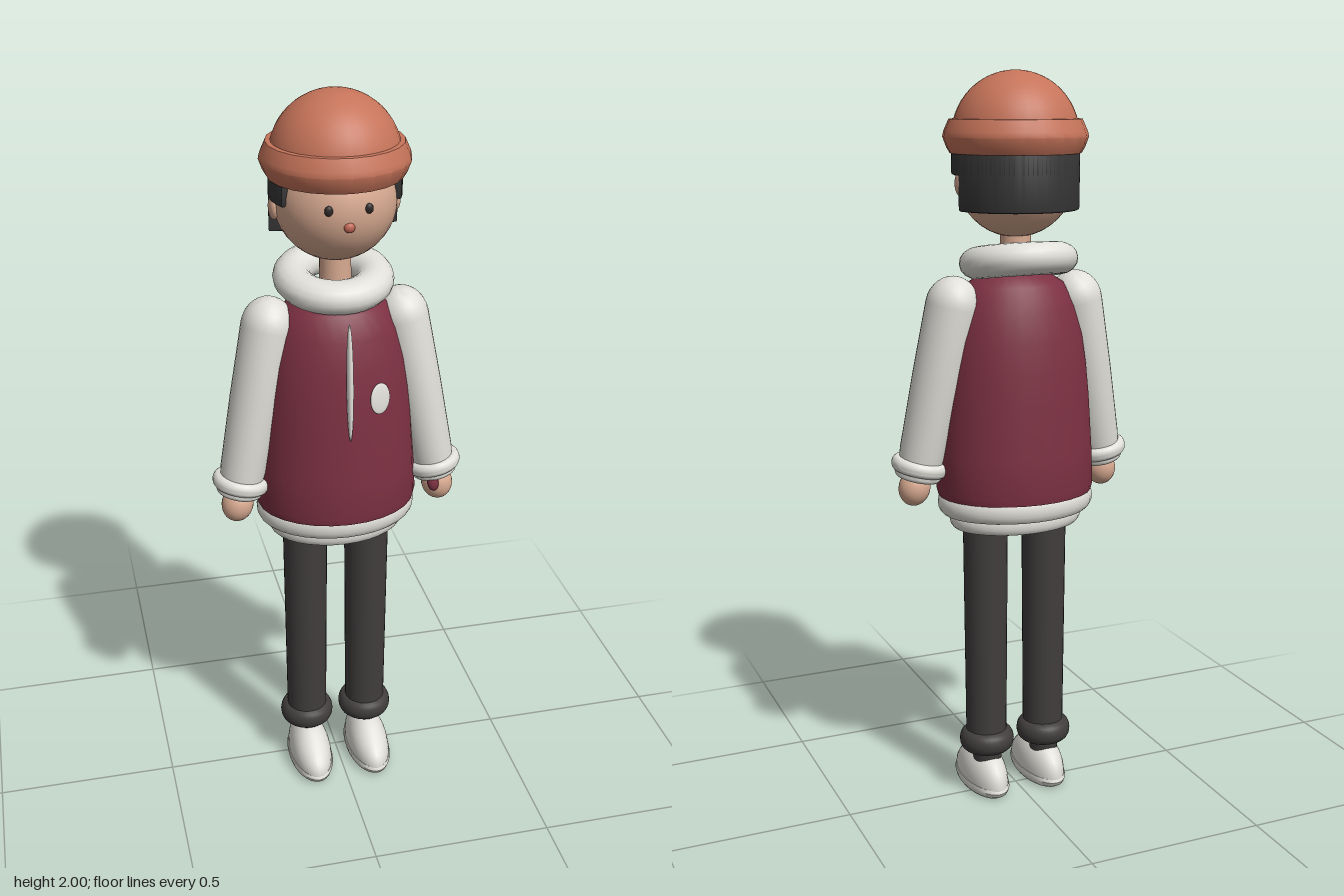
import * as THREE from 'three';
import { toCreasedNormals } from 'three/addons/utils/BufferGeometryUtils.js';

const mat = (name, color) => new THREE.MeshStandardMaterial({ name, color });

export function createModel() {
  const hatOrange = mat('hat orange', 0xc6745a);
  const maroon = mat('maroon', 0x7d3142);
  const white = mat('off white', 0xe0dfd9);
  const charcoal = mat('trouser charcoal', 0x413d3d);
  const hairBlack = mat('hair black', 0x383737);
  const skin = mat('skin', 0xd8aa91);
  const eyeDark = mat('eye dark', 0x2e2828);
  const nosePink = mat('nose pink', 0xbf6656);

  const root = new THREE.Group();
  root.name = 'figure';

  const add = (name, geo, material, [x, y, z] = [0, 0, 0], parent = root) => {
    const mesh = new THREE.Mesh(geo, material);
    mesh.name = name;
    mesh.position.set(x, y, z);
    parent.add(mesh);
    return mesh;
  };
  // Turned profile of [radius, y], bottom to top, with optional creases and oval depth
  const lathe = (pts, depth = 1, sides = 32, crease = 0.6) => {
    const g = new THREE.LatheGeometry(pts.map(([r, y]) => new THREE.Vector2(r, y)), sides);
    g.scale(1, 1, depth);
    return toCreasedNormals(g, crease);
  };
  const ball = (rx, ry, rz) => new THREE.SphereGeometry(1, 28, 20).scale(rx, ry, rz);
  // Rounded solid band with outer radius r, from y0 to y1
  const band = (r, y0, y1, depth = 1, sides = 32) => {
    const h = (y1 - y0) / 2, pts = [[0, y0]];
    for (let i = 0; i <= 8; i++) {
      const a = -Math.PI / 2 + (i / 8) * Math.PI;
      pts.push([r - h * 0.7 + Math.cos(a) * h * 0.7, (y0 + y1) / 2 + Math.sin(a) * h]);
    }
    pts.push([0, y1]);
    return lathe(pts, depth, sides);
  };

  // Head, neck and face
  add('head', ball(0.157, 0.157, 0.157), skin, [0, 1.73, 0]);
  add('neck', new THREE.CylinderGeometry(0.04, 0.043, 0.18, 24), skin, [0, 1.53, 0]);
  add('nose', ball(0.014, 0.013, 0.01), nosePink, [0, 1.7, 0.153]);
  for (const s of [1, -1]) {
    add('eye', ball(0.011, 0.013, 0.007), eyeDark, [s * 0.05, 1.743, 0.147]);
    add('ear', ball(0.014, 0.033, 0.025), skin, [s * 0.156, 1.715, -0.005]);
  }

  // Hair: curved slabs around the back of the head, reaching "reach" radians forward of the ears
  const hairSlab = (reach, y0, y1) => {
    const shape = new THREE.Shape();
    shape.absarc(0, 0, 0.163, -reach, Math.PI + reach, false);
    shape.absarc(0, 0, 0.135, Math.PI + reach, -reach, true);
    const g = new THREE.ExtrudeGeometry(shape, {
      depth: y1 - y0 - 0.012, curveSegments: 28,
      bevelThickness: 0.006, bevelSize: 0.005, bevelSegments: 2,
    });
    g.rotateX(-Math.PI / 2).translate(0, y0 + 0.006, 0);
    return toCreasedNormals(g, 0.6);
  };
  add('sideHair', hairSlab(0.43, 1.735, 1.81), hairBlack);
  add('backHair', hairSlab(-0.14, 1.645, 1.81), hairBlack);

  // Hat
  const dome = new THREE.SphereGeometry(0.167, 32, 14, 0, Math.PI * 2, 0, Math.PI / 2);
  add('hatDome', dome, hatOrange, [0, 1.833, 0]);
  add('hatBrim', lathe([[0, 1.79], [0.172, 1.79], [0.181, 1.805], [0.191, 1.832],
    [0.188, 1.846], [0.174, 1.877], [0.155, 1.878]], 1, 22), hatOrange);

  // Jacket body
  add('jacketBody', lathe([[0, 0.88], [0.216, 0.88], [0.221, 0.9], [0.217, 1.0], [0.207, 1.15],
    [0.199, 1.23], [0.187, 1.31], [0.165, 1.39], [0.135, 1.45], [0.09, 1.48], [0, 1.485]],
  0.81, 28, 0.9), maroon, [0, 0, 0.004]);
  add('upperHem', band(0.22, 0.827, 0.893, 0.77), white);
  add('lowerHem', band(0.188, 0.787, 0.84, 0.72), white);
  const collar = new THREE.TorusGeometry(0.108, 0.05, 16, 32).rotateX(Math.PI / 2).scale(1, 0.86, 1);
  add('collar', collar, white, [0, 1.512, -0.02]).rotation.x = 0.16;
  add('zip', ball(0.009, 0.16, 0.014), white, [0, 1.29, 0.167]).rotation.x = -0.06;
  const badge = add('chestBadge', ball(0.031, 0.042, 0.005), white, [0.083, 1.235, 0.156]);
  badge.rotation.set(-0.12, 0.38, 0);

  // Arms, hanging slightly outward and forward
  for (const s of [1, -1]) {
    const arm = new THREE.Group();
    arm.name = s > 0 ? 'leftArm' : 'rightArm';
    arm.position.set(s * 0.18, 1.4, 0.003);
    arm.rotation.set(-0.065, 0, s * 0.2);
    root.add(arm);
    const sleeve = [[0, -0.45], [0.056, -0.45], [0.061, -0.4], [0.067, -0.2], [0.07, 0]];
    for (let i = 1; i <= 8; i++) {
      const a = (i / 8) * Math.PI / 2;
      sleeve.push([0.07 * Math.cos(a), 0.078 * Math.sin(a)]);
    }
    add('sleeve', lathe(sleeve, 1.1, 28), white, [0, 0, 0], arm);
    add('cuff', band(0.077, -0.46, -0.422, 1.02), white, [0, 0, 0], arm);
    add('cuffEdge', band(0.064, -0.477, -0.445, 1.02), white, [0, 0, 0], arm);
    add('hand', ball(0.043, 0.05, 0.042), skin, [0, -0.505, 0.005], arm);
    if (s > 0) add('wristTag', ball(0.016, 0.025, 0.012), maroon, [-0.02, -0.485, 0.047], arm);
  }

  // Trousers
  add('hips', lathe([[0, 0.78], [0.14, 0.78], [0.15, 0.82], [0, 0.82]], 0.68), charcoal);
  for (const s of [1, -1]) {
    const leg = new THREE.Group();
    leg.name = s > 0 ? 'leftLeg' : 'rightLeg';
    leg.position.x = s * 0.088;
    root.add(leg);
    add('trouserLeg', new THREE.CylinderGeometry(0.062, 0.057, 0.66, 28), charcoal, [0, 0.48, 0.006], leg);
    add('trouserCuff', band(0.077, 0.124, 0.186), charcoal, [0, 0, 0.003], leg);
    add('ankle', new THREE.CylinderGeometry(0.045, 0.04, 0.06, 24), charcoal, [0, 0.125, 0], leg);

    // Shoe: half ellipsoid whose height falls towards the toe
    const shoe = new THREE.SphereGeometry(1, 28, 20);
    const p = shoe.attributes.position;
    for (let i = 0; i < p.count; i++) {
      const x = p.getX(i), y = Math.max(p.getY(i), 0), z = p.getZ(i);
      const height = 0.098 - 0.022 * THREE.MathUtils.smoothstep(z, 0, 0.8);
      p.setXYZ(i, x * 0.06, 0.025 + Math.pow(y, 0.85) * height, 0.042 + z * 0.134);
    }
    shoe.computeVertexNormals();
    add('shoe', shoe, white, [0, 0, 0], leg);
    const sole = lathe([[0, 0], [0.055, 0], [0.061, 0.008], [0.064, 0.02], [0.062, 0.03], [0, 0.03]], 2.14);
    add('sole', sole, white, [0, 0, 0.042], leg);
  }

  return root;
}
